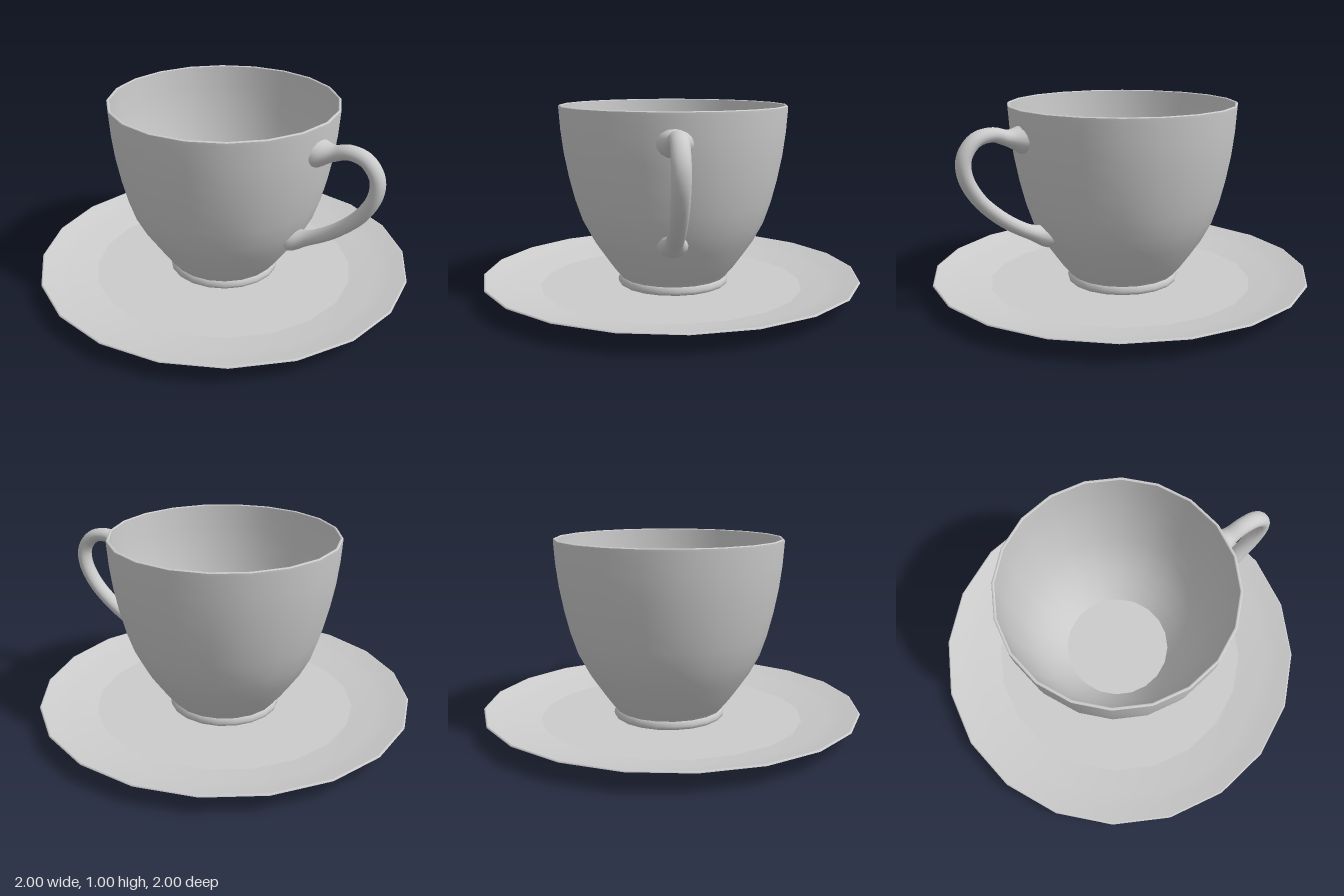
import * as THREE from 'three';

const material = new THREE.MeshStandardMaterial({ color: 0xcccccc, side: THREE.DoubleSide });
const SEGMENTS = 20;

// Outer wall of the cup body, from the neck up to the rim: [radius, height]
const WALL = [
  [0.285, 0.09], [0.295, 0.105], [0.325, 0.14], [0.368, 0.2], [0.43, 0.29], [0.483, 0.39],
  [0.52, 0.5], [0.55, 0.62], [0.575, 0.75], [0.59, 0.87], [0.598, 0.985], [0.598, 0.997],
];

function wallRadius(y) {
  for (let i = 1; i < WALL.length; i++) {
    const [r0, y0] = WALL[i - 1], [r1, y1] = WALL[i];
    if (y <= y1) return r0 + (r1 - r0) * Math.max(0, (y - y0) / (y1 - y0));
  }
  return WALL[WALL.length - 1][0];
}

// One turned surface per smooth stretch, so creases stay sharp between them
function turned(name, profiles) {
  const group = new THREE.Group();
  group.name = name;
  for (const [part, points] of Object.entries(profiles)) {
    const geometry = new THREE.LatheGeometry(points.map(([r, y]) => new THREE.Vector2(r, y)), SEGMENTS);
    const mesh = new THREE.Mesh(geometry, material);
    mesh.name = part;
    group.add(mesh);
  }
  return group;
}

// Swept oval handle, flared at both roots and trimmed to the cup wall
function handleGeometry() {
  const path = new THREE.CatmullRomCurve3([
    [0.565, 0.855], [0.61, 0.862], [0.66, 0.872], [0.73, 0.893], [0.82, 0.875], [0.88, 0.8], [0.88, 0.71],
    [0.82, 0.595], [0.71, 0.487], [0.6, 0.413], [0.51, 0.37], [0.44, 0.345],
  ].map(([x, y]) => new THREE.Vector3(x, y, 0)));
  const rings = 56, sides = 16, positions = [], index = [];
  for (let i = 0; i <= rings; i++) {
    const t = i / rings;
    const p = path.getPointAt(t), d = path.getTangentAt(t);
    const top = Math.exp(-((t / 0.06) ** 2)), low = Math.exp(-(((1 - t) / 0.07) ** 2));
    const thick = 0.036 + 0.035 * top + 0.022 * low;
    const wide = 0.044 + 0.045 * top + 0.032 * low;
    for (let j = 0; j < sides; j++) {
      const a = (j / sides) * Math.PI * 2;
      const n = Math.cos(a) * thick, z = Math.sin(a) * wide + 0.038;
      const y = p.y + d.x * n;
      const limit = wallRadius(y) * 0.985 - 0.002;
      const x = Math.max(p.x - d.y * n, Math.sqrt(limit * limit - z * z));
      positions.push(x, y, z);
      if (i < rings) {
        const k = (j + 1) % sides, r0 = i * sides, r1 = r0 + sides;
        index.push(r0 + j, r0 + k, r1 + j, r0 + k, r1 + k, r1 + j);
      }
    }
  }
  const geometry = new THREE.BufferGeometry();
  geometry.setAttribute('position', new THREE.Float32BufferAttribute(positions, 3));
  geometry.setIndex(index);
  geometry.computeVertexNormals();
  return geometry;
}

export function createModel() {
  const model = new THREE.Group();
  model.name = 'cupAndSaucer';

  model.add(turned('saucer', {
    saucerBase: [[0, 0], [0.685, 0]],
    saucerUnderside: [[0.685, 0], [0.7, 0.006], [0.725, 0.023], [0.76, 0.035], [0.88, 0.058], [0.94, 0.079], [1, 0.099]],
    saucerRim: [[1, 0.099], [0.998, 0.105], [0.992, 0.106]],
    saucerSlope: [[0.992, 0.106], [0.92, 0.086], [0.85, 0.069], [0.7, 0.043]],
    saucerWell: [[0.7, 0.043], [0, 0.043]],
  }));

  const cup = new THREE.Group();
  cup.name = 'cup';
  cup.position.set(-0.006, 0, -0.013);
  cup.add(turned('bowl', {
    footBase: [[0, 0.046], [0.285, 0.046]],
    footRing: [[0.285, 0.046], [0.293, 0.052], [0.296, 0.065], [0.292, 0.082], [0.285, 0.09]],
    outerWall: WALL,
    rim: [[0.598, 0.997], [0.594, 1.001], [0.587, 1.001], [0.584, 0.997]],
    innerWall: [[0.584, 0.997], ...WALL.slice(3, -2).reverse().map(([r, y]) => [r - 0.014, y]), [0.29, 0.125]],
    innerFloor: [[0.29, 0.125], [0, 0.125]],
  }));

  const handle = new THREE.Mesh(handleGeometry(), material);
  handle.name = 'handle';
  cup.add(handle);
  model.add(cup);
  return model;
}
